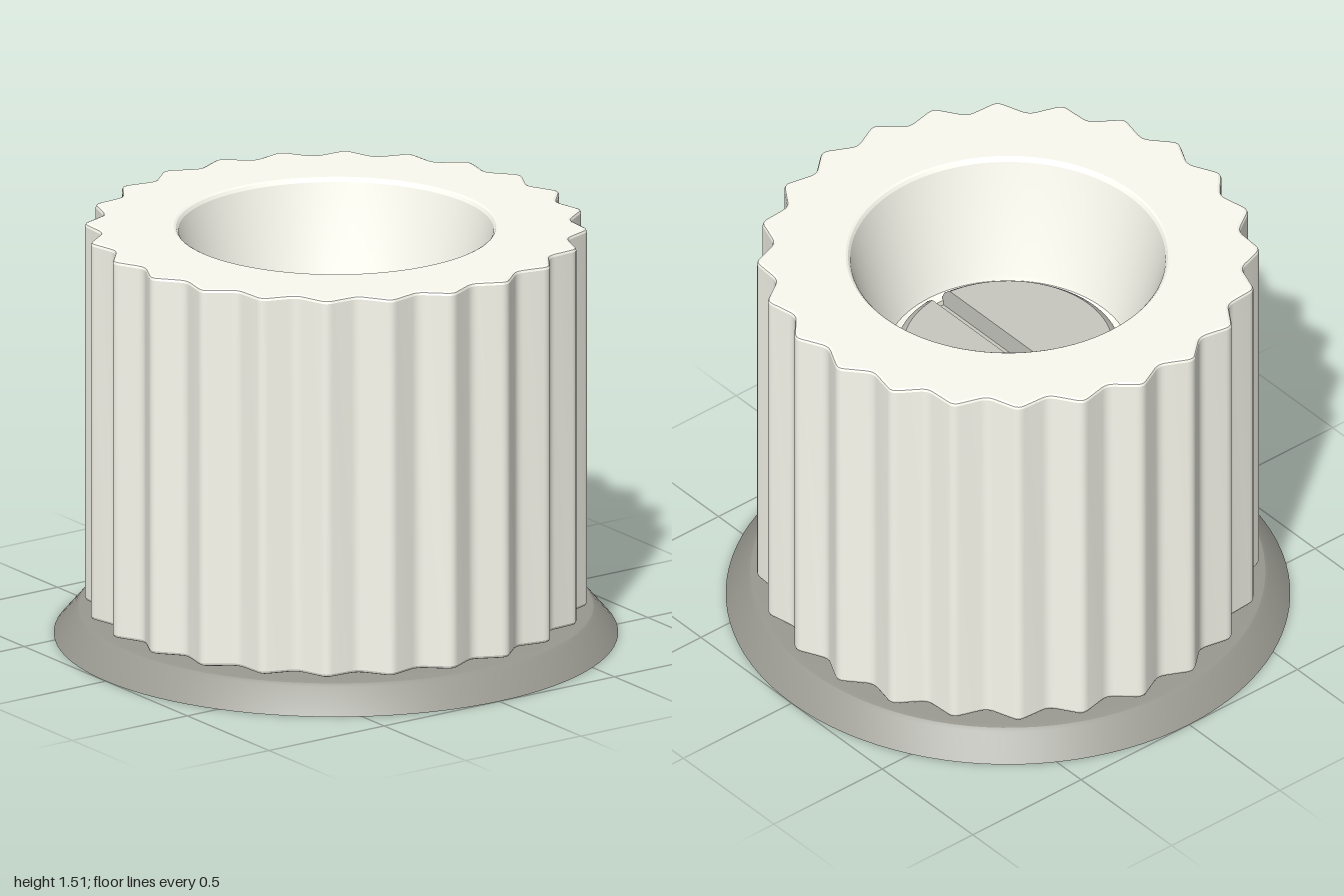
import * as THREE from 'three';
import { toCreasedNormals } from 'three/addons/utils/BufferGeometryUtils.js';

const paint = (color) => new THREE.MeshStandardMaterial({ color, side: THREE.DoubleSide });
const points = (list) => list.map(([x, y]) => new THREE.Vector2(x, y));

function addMesh(parent, name, geometry, material) {
  const mesh = new THREE.Mesh(geometry, material);
  mesh.name = name;
  parent.add(mesh);
  return mesh;
}

// Turned part with crisp edges between its profile sections
const turned = (profile) =>
  toCreasedNormals(new THREE.LatheGeometry(points(profile), 96), 0.35);

// Fluted outline: alternating valleys and tips, each corner rounded
function flutedShape(teeth, tip, valley) {
  const count = teeth * 2;
  const corner = (i) => {
    const a = (i * Math.PI * 2) / count;
    const r = i % 2 ? tip : valley;
    return new THREE.Vector2(r * Math.cos(a), r * Math.sin(a));
  };
  const shape = new THREE.Shape();
  for (let i = 0; i < count; i++) {
    const c = corner(i);
    const start = c.clone().lerp(corner(i + count - 1), 0.2);
    const end = c.clone().lerp(corner(i + 1), 0.2);
    if (i === 0) shape.moveTo(start.x, start.y);
    else shape.lineTo(start.x, start.y);
    shape.quadraticCurveTo(c.x, c.y, end.x, end.y);
  }
  shape.closePath();
  return shape;
}

export function createModel() {
  const model = new THREE.Group();
  model.name = 'knob';
  const ivory = paint(0xfbfbf0);
  const darkGrey = paint(0x999991);
  const midGrey = paint(0xc8c8c1);

  // Flared base plate with a low central seat under the grip
  addMesh(model, 'basePlate', turned([
    [0, 0], [1, 0], [0.925, 0.088], [0.912, 0.097], [0.895, 0.1],
    [0.4, 0.1], [0.4, 0.115], [0, 0.115],
  ]), darkGrey);

  // Fluted grip with softened top and bottom edges
  const bevel = 0.012;
  const shape = flutedShape(24, 0.897, 0.831);
  const rim = new THREE.Path().absarc(0, 0, 0.58, 0, Math.PI * 2, true);
  shape.holes.push(new THREE.Path(rim.getPoints(48)));
  const gripGeometry = new THREE.ExtrudeGeometry(shape, {
    depth: 1.4 - 2 * bevel, bevelThickness: bevel, bevelSize: bevel,
    bevelOffset: -bevel, bevelSegments: 2, curveSegments: 4,
  });
  gripGeometry.rotateX(-Math.PI / 2).translate(0, 0.11 + bevel, 0);
  addMesh(model, 'grip', toCreasedNormals(gripGeometry, 0.36), ivory);

  // Tapered bore with a rounded rim and a small ledge around the screw
  addMesh(model, 'bore', turned([
    [0.594, 1.51], [0.575, 1.51], [0.567, 1.506], [0.559, 1.495],
    [0.444, 1.08], [0.436, 1.06], [0.422, 1.051], [0.405, 1.05], [0.405, 0.95],
  ]), ivory);

  // Slotted screw: two rounded halves either side of a slot
  const screw = new THREE.Group();
  screw.name = 'screw';
  const slot = 0.04;
  const section = [[0.41, 1.02], [0.41, 1.06], [0.398, 1.088], [0.37, 1.11]];
  const half = new THREE.LatheGeometry(points([...section, [0, 1.11]]), 48, 0, Math.PI);
  const pos = half.attributes.position;
  for (let i = 0; i < pos.count; i++) pos.setX(i, Math.max(pos.getX(i), slot));
  const headGeometry = toCreasedNormals(half, 0.5);
  const mirrored = section.map(([x, y]) => [-x, y]).reverse();
  const wall = new THREE.ShapeGeometry(new THREE.Shape(points([...section, ...mirrored])));
  wall.rotateY(-Math.PI / 2).translate(slot, 0, 0);
  for (const [side, turn] of [['left', 0], ['right', Math.PI]]) {
    const part = new THREE.Group();
    part.name = side + 'ScrewHalf';
    part.rotation.y = turn;
    addMesh(part, side + 'ScrewHead', headGeometry, midGrey);
    addMesh(part, side + 'SlotWall', wall, midGrey);
    screw.add(part);
  }
  const floor = new THREE.CylinderGeometry(0.408, 0.408, 0.1, 64);
  addMesh(screw, 'slotFloor', floor, midGrey).position.y = 0.98;
  model.add(screw);

  return model;
}
